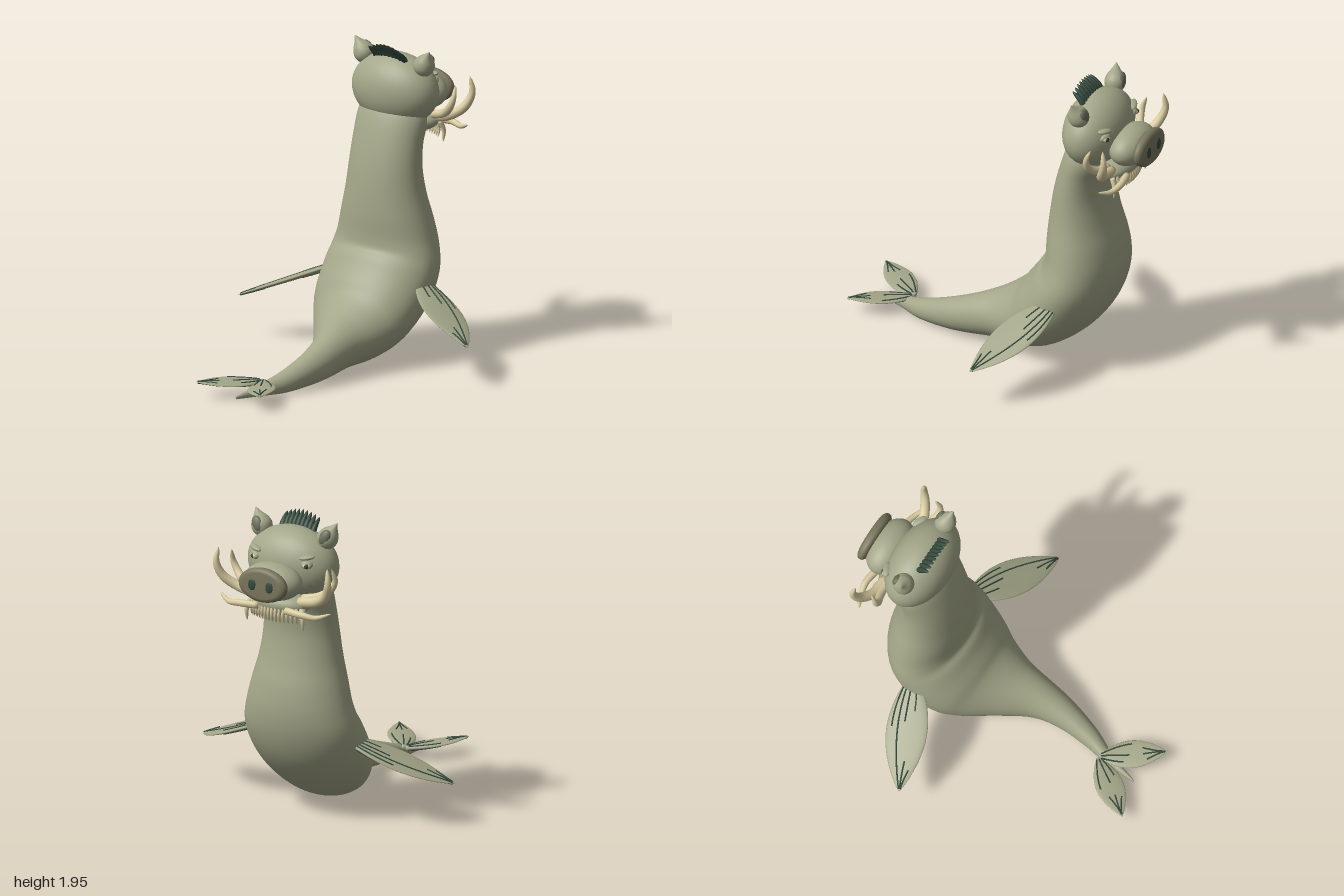
import * as THREE from 'three';

const V = (x, y, z) => new THREE.Vector3(x, y, z);
const mat = (name, color, side = THREE.FrontSide) => {
  const m = new THREE.MeshStandardMaterial({ color, side });
  m.name = name;
  return m;
};

export function createModel() {
  const skin = mat('grey green skin', 0xa3a688);
  const snoutSkin = mat('dark snout', 0x79755d);
  const ivory = mat('ivory', 0xd8cba0);
  const green = mat('dark green', 0x34493d);
  const shade = mat('inner ear', 0x6d715b);
  const model = new THREE.Group();

  const add = (name, geometry, material, parent = model) => {
    const m = new THREE.Mesh(geometry, material);
    m.name = name;
    parent.add(m);
    return m;
  };

  // Smooth skin over elliptical rings { c, u, v }, closed at both ends
  function loft(rings, sides = 20) {
    const pos = [], index = [];
    const shut = (r) => ({ c: r.c, u: V(0, 0, 0), v: V(0, 0, 0) });
    const mid = rings[rings.length >> 1], prev = rings[(rings.length >> 1) - 1];
    const along = mid.c.clone().sub(prev.c);
    const flip = mid.u.clone().cross(mid.v).dot(along) < 0 ? -1 : 1;
    const all = [shut(rings[0]), ...rings, shut(rings[rings.length - 1])];
    all.forEach(({ c, u, v }, i) => {
      for (let j = 0; j < sides; j++) {
        const a = (j / sides) * Math.PI * 2;
        const p = c.clone().addScaledVector(u, Math.cos(a)).addScaledVector(v, flip * Math.sin(a));
        pos.push(p.x, p.y, p.z);
        if (i === all.length - 1) continue;
        const k = (j + 1) % sides, A = i * sides, B = A + sides;
        index.push(A + j, A + k, B + j, A + k, B + k, B + j);
      }
    });
    const g = new THREE.BufferGeometry();
    g.setAttribute('position', new THREE.Float32BufferAttribute(pos, 3));
    g.setIndex(index);
    g.computeVertexNormals();
    return g;
  }

  // Round curved horn that tapers to a point
  function horn(points, radius, steps = 18) {
    const curve = new THREE.CatmullRomCurve3(points);
    const rings = [];
    for (let i = 0; i <= steps; i++) {
      const t = i / steps, tan = curve.getTangent(t);
      const r = radius * Math.pow(1 - t, 0.6) * (0.8 + 0.5 * t) + 0.001;
      const u = tan.clone().cross(V(0.1, 0.3, 1)).normalize();
      rings.push({ c: curve.getPoint(t), u: u.clone().multiplyScalar(r), v: tan.cross(u).multiplyScalar(r) });
    }
    return loft(rings, 12);
  }

  const ellipsoid = (name, p, r, material, parent = model) => {
    const m = add(name, new THREE.SphereGeometry(1, 40, 24), material, parent);
    m.position.set(...p);
    m.scale.set(...r);
    return m;
  };

  // Body, tail to neck: back z, back y, belly z, belly y, centre x, half width
  const sections = [
    [0.91, 0.04, 0.91, 0.02, 0.0, 0.006],
    [0.72, 0.08, 0.72, 0.005, 0.035, 0.035],
    [0.55, 0.135, 0.57, 0.0, 0.085, 0.062],
    [0.35, 0.215, 0.36, 0.01, 0.115, 0.09],
    [0.15, 0.3, 0.2, 0.02, 0.105, 0.125],
    [0.0, 0.37, 0.03, 0.03, 0.06, 0.19],
    [-0.12, 0.46, -0.18, 0.03, 0.02, 0.285],
    [-0.17, 0.53, -0.36, 0.08, 0.005, 0.35],
    [-0.22, 0.6, -0.55, 0.22, 0, 0.385],
    [-0.265, 0.67, -0.68, 0.38, 0, 0.392],
    [-0.3, 0.71, -0.75, 0.54, 0, 0.382],
    [-0.31, 0.77, -0.775, 0.7, 0, 0.352],
    [-0.312, 0.9, -0.76, 0.86, 0, 0.315],
    [-0.325, 1.05, -0.72, 1.02, 0, 0.275],
    [-0.347, 1.2, -0.69, 1.2, 0, 0.252],
    [-0.385, 1.36, -0.7, 1.34, 0, 0.245],
    [-0.44, 1.52, -0.73, 1.45, 0, 0.245],
    [-0.5, 1.62, -0.7, 1.58, 0, 0.2],
  ];
  const back = new THREE.CatmullRomCurve3(sections.map((s) => V(s[4], s[1], s[0])));
  const belly = new THREE.CatmullRomCurve3(sections.map((s) => V(s[5], s[3], s[2])));
  const bodyRings = [];
  for (let i = 0; i <= 90; i++) {
    const a = back.getPoint(i / 90), b = belly.getPoint(i / 90);
    bodyRings.push({
      c: V(a.x, (a.y + b.y) / 2, (a.z + b.z) / 2),
      u: V(b.x, 0, 0),
      v: V(0, (a.y - b.y) / 2, (a.z - b.z) / 2),
    });
  }
  add('body', loft(bodyRings, 48), skin);

  // Leaf-shaped fin with dark ribs lying on both faces
  function fin(name, root, tip, width, thick, rootWidth, ribs) {
    const group = new THREE.Group();
    group.name = name;
    model.add(group);
    const axis = tip.clone().sub(root);
    const across = V(-axis.z, 0, axis.x).normalize();
    across.y = (across.x * axis.y) / axis.x;
    const w = (t) => width * Math.pow(Math.sin(Math.PI * (rootWidth + (1 - rootWidth) * t)), 0.85) + 0.002;
    const h = (t) => thick * Math.sqrt(Math.max(0, 1 - t)) + 0.002;
    const at = (t) => root.clone().addScaledVector(axis, t);
    const rings = [];
    for (let i = 0; i <= 24; i++) {
      const t = i / 24;
      rings.push({ c: at(t), u: across.clone().multiplyScalar(w(t)), v: V(0, h(t), 0) });
    }
    add('fin blade', loft(rings, 24), skin, group);
    for (const [t0, t1, s0, s1] of ribs) for (const face of [1, -1]) {
      const line = [];
      for (let i = 0; i <= 8; i++) {
        const t = t0 + ((t1 - t0) * i) / 8, s = s0 + ((s1 - s0) * i) / 8;
        line.push(at(t).addScaledVector(across, s * w(t)).add(V(0, face * h(t) * Math.sqrt(1 - s * s), 0)));
      }
      add('fin rib', new THREE.TubeGeometry(new THREE.CatmullRomCurve3(line), 16, 0.005, 6), green, group);
    }
  }

  for (const s of [1, -1]) {
    const side = s > 0 ? 'left' : 'right';
    const P = (x, y, z) => V(s * x, y, z);
    // Ribs: start and end along the fin, start and end across it
    fin(side + ' flipper', P(0.35, 0.5, -0.46), P(0.9, 0.265, -0.205), 0.125, 0.02, 0.13,
      [[0, 0.4, -0.8 * s, -0.75 * s], [0, 0.98, -0.5 * s, -0.4 * s], [0, 0.35, -0.1 * s, -0.15 * s],
        [0, 0.25, 0.4 * s, 0.3 * s], [0.72, 0.98, 0.1 * s, 0], [0.8, 0.98, 0.55 * s, 0.3 * s]]);
    fin(side + ' tail fluke', P(0.005, 0.075, 0.66), P(0.25, 0.1, 0.99), 0.085, 0.014, 0.03,
      [[0.03, 0.5, -0.6 * s, -0.7 * s], [0.03, 0.45, 0, 0.1 * s], [0.03, 0.35, 0.6 * s, 0.6 * s],
        [0.65, 0.98, -0.4 * s, 0], [0.65, 0.98, 0.1 * s, 0], [0.7, 0.98, 0.6 * s, 0.2 * s]]);

    // Tusks
    add(side + ' large tusk', horn([P(0.15, 1.46, -0.78), P(0.28, 1.49, -0.79), P(0.365, 1.55, -0.83),
      P(0.4, 1.64, -0.86), P(0.39, 1.74, -0.85)], 0.04), ivory);
    add(side + ' rear tusk', horn([P(0.16, 1.48, -0.76), P(0.27, 1.51, -0.745), P(0.335, 1.56, -0.72),
      P(0.365, 1.62, -0.72), P(0.36, 1.7, -0.75)], 0.033), ivory);
    add(side + ' lower tusk', horn([P(0.1, 1.42, -0.86), P(0.22, 1.42, -0.88), P(0.31, 1.41, -0.86),
      P(0.395, 1.44, -0.82)], 0.027), ivory);
    add(side + ' fang', horn([P(0.19, 1.43, -0.81), P(0.2, 1.37, -0.83), P(0.2, 1.3, -0.825)], 0.018), ivory);

    // Ears
    const ear = new THREE.Group();
    ear.name = side + ' ear';
    ear.position.set(s * 0.235, 1.835, -0.6);
    ear.rotation.set(0.2, 0, -s * 0.5);
    model.add(ear);
    const profile = new THREE.SplineCurve([[0, -0.07], [0.045, -0.05], [0.066, -0.005], [0.055, 0.04],
      [0.026, 0.08], [0.001, 0.12]].map((p) => new THREE.Vector2(...p))).getPoints(24);
    profile.forEach((p) => { p.x = Math.max(0, p.x); });
    add('ear shell', new THREE.LatheGeometry(profile, 28), skin, ear);
    ellipsoid('inner ear', [0, 0.012, -0.045], [0.036, 0.052, 0.024], shade, ear);

    // Eyes and brows
    const eye = new THREE.Group();
    eye.name = side + ' eye';
    eye.position.set(s * 0.185, 1.7, -0.758);
    eye.rotation.y = s * -0.42;
    model.add(eye);
    ellipsoid('eyelid', [0, 0, 0], [0.038, 0.026, 0.02], skin, eye);
    ellipsoid('eyeball', [0, -0.003, -0.008], [0.028, 0.018, 0.018], ivory, eye);
    ellipsoid('pupil', [0, -0.003, -0.019], [0.014, 0.015, 0.01], green, eye);
    ellipsoid('brow', [0, 0.045, 0.006], [0.05, 0.015, 0.025], skin, eye).rotation.z = s * 0.15;
  }

  // Head, muzzle and jaw
  ellipsoid('head', [0, 1.65, -0.613], [0.307, 0.228, 0.192], skin);
  ellipsoid('muzzle', [0, 1.59, -0.845], [0.195, 0.118, 0.125], skin);
  ellipsoid('jaw', [0, 1.435, -0.755], [0.2, 0.075, 0.115], skin);

  // Snout disc with a rounded rim and two nostrils
  const snout = new THREE.Group();
  snout.name = 'snout';
  snout.position.set(0, 1.597, -0.96);
  snout.rotation.x = 0.06;
  model.add(snout);
  const rim = [[0, -0.034], [0.6, -0.034], [0.88, -0.028], [0.98, -0.014], [1, 0], [0.98, 0.016],
    [0.88, 0.028], [0.75, 0.033], [0, 0.033]].map((p) => new THREE.Vector2(...p));
  const disc = new THREE.LatheGeometry(rim, 40);
  disc.rotateX(-Math.PI / 2);
  disc.scale(0.17, 0.107, 1);
  add('snout disc', disc, snoutSkin, snout);
  for (const s of [1, -1]) ellipsoid('nostril', [s * 0.062, 0, -0.033], [0.026, 0.036, 0.007], green, snout);

  // Row of hanging teeth along the jaw
  for (let i = 0; i < 15; i++) {
    const x = -0.175 + i * 0.025, z = -0.865 + 1.6 * x * x;
    add('tooth', horn([V(x, 1.43, z + 0.01), V(x, 1.38, z), V(x * 1.02, 1.33, z + 0.015)], 0.013, 8), ivory);
  }

  // Mane tuft: a fan of spikes leaning backwards
  for (let i = 0; i < 9; i++) {
    const k = (i - 4) / 4, drop = 0.03 * k * k;
    add('mane spike', horn([V(k * 0.11, 1.82, -0.58), V(k * 0.112, 1.885 - drop * 0.5, -0.55),
      V(k * 0.115, 1.95 - drop, -0.495)], 0.024, 10), green);
  }
  return model;
}
